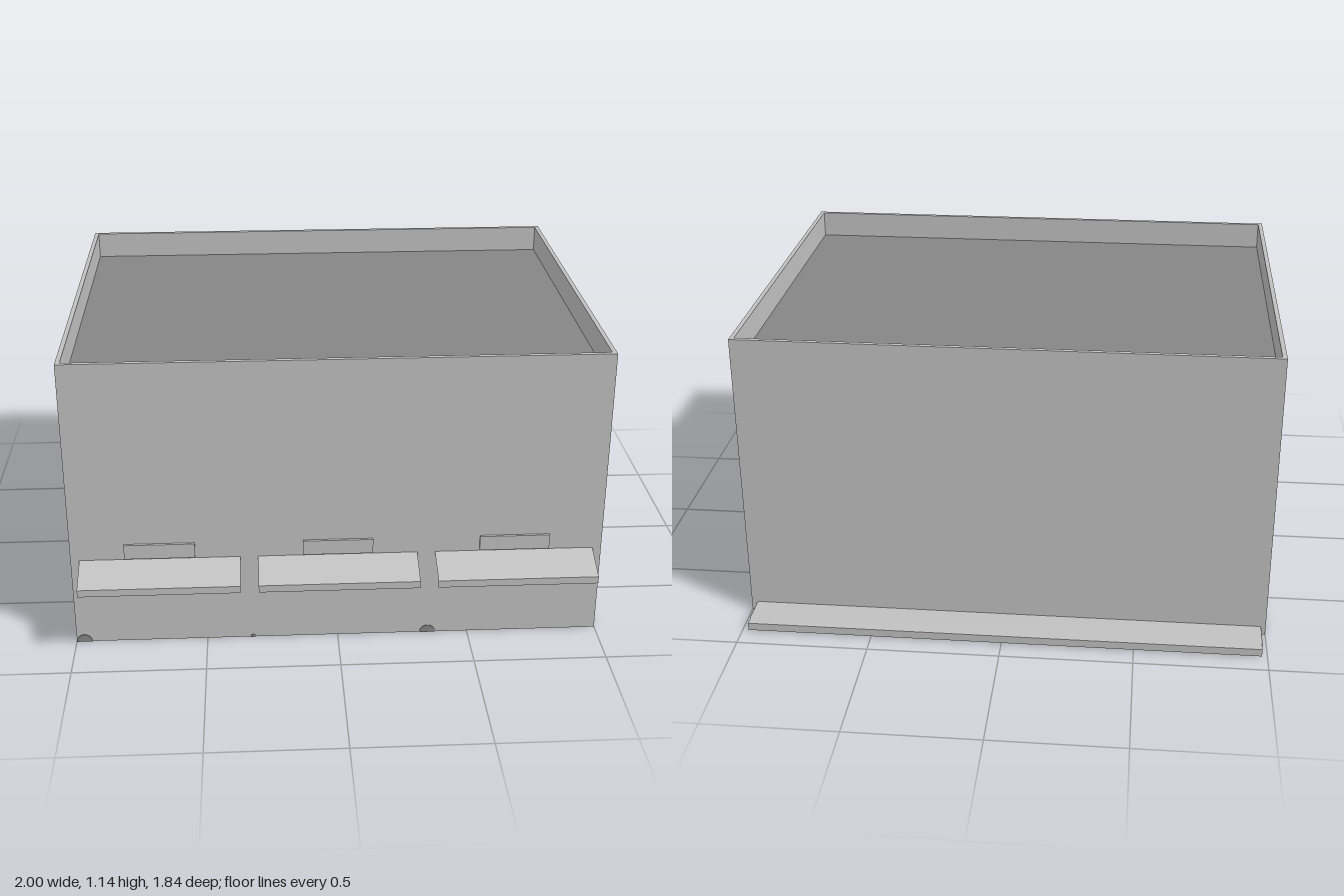
import * as THREE from 'three';

const X = 1, BACK = -0.765, FRONT = 0.79, TOP = 1.145, ROOF = 1.04, RIM = 0.017;

export function createModel() {
  const group = new THREE.Group();
  const paleGrey = new THREE.MeshStandardMaterial({ color: 0xc0c0c0, side: THREE.DoubleSide });
  paleGrey.name = 'pale grey';
  const darkGrey = new THREE.MeshStandardMaterial({ color: 0x858585, side: THREE.DoubleSide });
  darkGrey.name = 'dark grey';

  function add(name, geometry, material, x = 0, y = 0, z = 0) {
    const mesh = new THREE.Mesh(geometry, material);
    mesh.name = name;
    mesh.position.set(x, y, z);
    group.add(mesh);
    return mesh;
  }

  // Flat quads between neighbouring rows of points
  function strip(rows, closed) {
    const points = [];
    for (let r = 0; r < rows.length - 1; r++) {
      const a = rows[r], b = rows[r + 1], n = a.length;
      for (let i = 0; i < (closed ? n : n - 1); i++) {
        const j = (i + 1) % n;
        points.push(a[i], a[j], b[j], a[i], b[j], b[i]);
      }
    }
    const geometry = new THREE.BufferGeometry();
    geometry.setAttribute('position', new THREE.Float32BufferAttribute(points.flat(), 3));
    geometry.computeVertexNormals();
    return geometry;
  }

  // Open-bottomed walls with a parapet rim folded inwards
  const ring = (y, inset) => [
    [-X + inset, y, FRONT - inset], [X - inset, y, FRONT - inset],
    [X - inset, y, BACK + inset], [-X + inset, y, BACK + inset],
  ];
  add('walls', strip([ring(0, 0), ring(TOP, 0), ring(TOP, RIM), ring(ROOF, RIM)], true), paleGrey);

  // Sunken roof
  const roof = new THREE.PlaneGeometry(2 * X - 0.004, FRONT - BACK - 0.004).rotateX(-Math.PI / 2);
  add('roof', roof, darkGrey, 0, ROOF, (FRONT + BACK) / 2);

  // Awnings with a hanging lip, and a sign above each
  for (const centre of [-0.667, 0, 0.667]) {
    const row = (y, z) => [[-0.3, y, z], [0.3, y, z]];
    add('awning', strip([row(0.275, 0.92), row(0.303, 0.92), row(0.355, FRONT)], false), paleGrey, centre);
    add('sign', new THREE.BoxGeometry(0.264, 0.058, 0.01), paleGrey, centre, 0.39, FRONT + 0.005);
  }

  // Loading ledge along the back, with dark end plates
  add('ledge', new THREE.BoxGeometry(1.955, 0.03, 0.155), paleGrey, -0.002, 0.02, BACK - 0.0775);
  for (const side of [-1, 1]) {
    add('ledgeEnd', new THREE.BoxGeometry(0.003, 0.026, 0.11), darkGrey, -0.002 + side * 0.979, 0.02, BACK - 0.056);
  }

  // Small half-round openings at the foot of the front wall
  for (const [x, radius] of [[-0.97, 0.03], [-0.325, 0.01], [0.347, 0.03]]) {
    const disc = new THREE.CylinderGeometry(radius, radius, 0.006, 16, 1, false, Math.PI / 2, Math.PI);
    add('frontOpening', disc.rotateX(Math.PI / 2), darkGrey, x, 0, FRONT).rotation.z = 0;
  }

  // Keep the half-rounds above the ground
  group.children.filter((m) => m.name === 'frontOpening').forEach((m) => {
    m.geometry.computeBoundingBox();
    if (m.geometry.boundingBox.max.y < 0.005) m.rotation.z = Math.PI;
  });
  return group;
}
